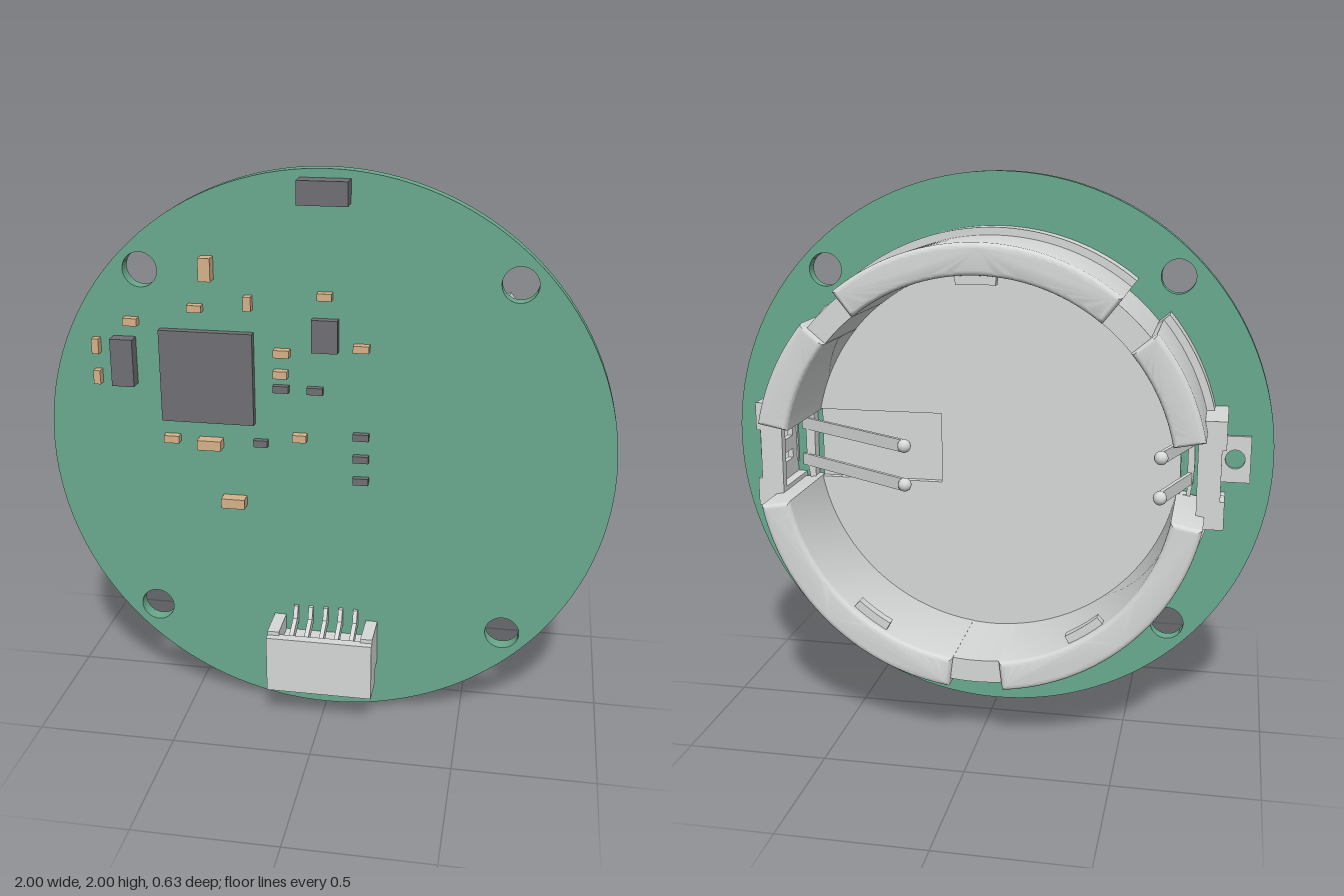
import * as THREE from 'three';
import { toCreasedNormals } from 'three/addons/utils/BufferGeometryUtils.js';

const mat = (name, color) => {
  const m = new THREE.MeshStandardMaterial({ color });
  m.name = name;
  return m;
};

export function createModel() {
  const green = mat('board green', 0x69aa8e);
  const grey = mat('light grey', 0xd6d8d7);
  const dark = mat('dark grey', 0x6f6f74);
  const tan = mat('tan', 0xd6b189);

  const model = new THREE.Group();
  const body = new THREE.Group(); // origin at the board centre
  body.name = 'assembly';
  body.position.y = 1;
  model.add(body);

  const add = (parent, name, geo, material) => {
    const m = new THREE.Mesh(geo, material);
    m.name = name;
    parent.add(m);
    return m;
  };
  const box = (parent, name, material, x0, x1, y0, y1, z0, z1) => {
    const m = add(parent, name, new THREE.BoxGeometry(x1 - x0, y1 - y0, z1 - z0), material);
    m.position.set((x0 + x1) / 2, (y0 + y1) / 2, (z0 + z1) / 2);
    return m;
  };
  // Extrude a shape between two z values, with an optional rounded edge
  const slab = (shape, z0, z1, round = 0, curveSegments = 32) => {
    const g = new THREE.ExtrudeGeometry(shape, {
      depth: z1 - z0 - 2 * round, curveSegments, bevelEnabled: round > 0,
      bevelSize: round, bevelThickness: round, bevelOffset: -round, bevelSegments: 4,
    });
    g.translate(0, 0, z0 + round);
    return toCreasedNormals(g, 0.6);
  };
  const rad = THREE.MathUtils.degToRad;
  const arc = (r0, r1, a0, a1) => {
    const s = new THREE.Shape();
    s.absarc(0, 0, r1, rad(a0), rad(a1), false);
    s.absarc(0, 0, r0, rad(a1), rad(a0), true);
    s.closePath();
    return s;
  };
  const circle = (x, y, r, Type = THREE.Path) => new Type().absarc(x, y, r, 0, Math.PI * 2, false);
  const rect = (x0, x1, y0, y1, Type = THREE.Path) => {
    const p = new Type();
    p.moveTo(x0, y0).lineTo(x1, y0).lineTo(x1, y1).lineTo(x0, y1).closePath();
    return p;
  };

  // Round circuit board with four mounting holes
  const disc = circle(0, 0, 1, THREE.Shape);
  for (const sx of [-1, 1]) for (const sy of [-1, 1]) disc.holes.push(circle(sx * 0.643, sy * 0.643, 0.061));
  add(body, 'circuitBoard', slab(disc, 0.105, 0.155, 0, 64), green);

  // Dark components: x, y (from the ground), width, height, depth
  const chips = [
    [0, 1.93, 0.17, 0.08, 0.065], [-0.415, 1.275, 0.33, 0.33, 0.03],
    [-0.71, 1.32, 0.08, 0.17, 0.048], [0, 1.443, 0.09, 0.115, 0.03],
    [-0.155, 1.245, 0.055, 0.025, 0.022], [-0.035, 1.245, 0.055, 0.025, 0.022],
    [-0.23, 1.04, 0.05, 0.025, 0.022], [0.125, 1.085, 0.055, 0.025, 0.022],
    [0.125, 1.003, 0.055, 0.025, 0.022], [0.125, 0.92, 0.055, 0.025, 0.022],
  ];
  // Tan components
  const passives = [
    [-0.405, 1.66, 0.042, 0.08, 0.045], [-0.265, 1.545, 0.027, 0.05, 0.03],
    [-0.45, 1.52, 0.05, 0.025, 0.03], [-0.68, 1.463, 0.05, 0.027, 0.03],
    [-0.81, 1.37, 0.025, 0.055, 0.03], [-0.81, 1.257, 0.025, 0.05, 0.03],
    [0, 1.58, 0.05, 0.025, 0.03], [-0.15, 1.375, 0.055, 0.027, 0.03],
    [-0.155, 1.3, 0.05, 0.027, 0.03], [0.125, 1.405, 0.055, 0.025, 0.03],
    [-0.55, 1.04, 0.055, 0.027, 0.03], [-0.41, 1.03, 0.085, 0.036, 0.045],
    [-0.09, 1.07, 0.05, 0.027, 0.03], [-0.33, 0.812, 0.085, 0.036, 0.045],
  ];
  const place = (list, name, material) => list.forEach(([x, y, w, h, d]) =>
    box(body, name, material, x - w / 2, x + w / 2, y - 1 - h / 2, y - 1 + h / 2, 0.155, 0.155 + d));
  place(chips, 'chip', dark);
  place(passives, 'passiveComponent', tan);

  // Cable connector: stepped housing open at the top, with five pins
  const plug = new THREE.Group();
  plug.name = 'connector';
  plug.position.y = -1;
  body.add(plug);
  box(plug, 'connectorBase', grey, -0.193, 0.19, 0.19, 0.3, 0.155, 0.195);
  box(plug, 'connectorCore', grey, -0.193, 0.19, 0.13, 0.3, 0.195, 0.28);
  box(plug, 'connectorFace', grey, -0.193, 0.19, 0.13, 0.345, 0.28, 0.315);
  for (const [x0, x1] of [[-0.193, -0.15], [0.147, 0.19]]) {
    box(plug, 'connectorCorner', grey, x0, x1, 0.3, 0.36, 0.155, 0.29);
  }
  for (let i = -2; i <= 2; i++) {
    const pin = new THREE.Shape([[0.157, 0.405], [0.17, 0.405], [0.19, 0.365], [0.265, 0.335], [0.265, 0.295], [0.157, 0.34]]
      .map(([z, y]) => new THREE.Vector2(-z, y)));
    const g = new THREE.ExtrudeGeometry(pin, { depth: 0.016, bevelEnabled: false });
    g.rotateY(Math.PI / 2);
    g.translate(i * 0.055 - 0.008, 0, 0);
    add(plug, 'connectorPin', g, grey);
  }

  // Battery holder: thick walls with three shallow grooves and a gap at each side
  const holder = new THREE.Group();
  holder.name = 'batteryHolder';
  body.add(holder);
  for (const [a, b] of [[10.8, 40], [51.5, 128.5], [140, 169.2], [190.8, 263], [277, 349.2]]) {
    add(holder, 'holderWall', slab(arc(0.675, 0.783, a, b), -0.315, 0.105, 0.018), grey);
  }
  for (const [a, b] of [[38, 53.5], [126.5, 142], [261, 279]]) {
    add(holder, 'wallGroove', slab(arc(0.676, 0.757, a, b), -0.295, 0.105), grey);
  }
  for (const [a, b] of [[13.6, 40], [51.5, 128.5], [140, 166.4], [193.6, 346.4]]) {
    add(holder, 'holderFlange', slab(arc(0.74, 0.81, a, b), 0.02, 0.105), grey);
  }
  // Small retaining lips inside the rim
  for (const a of [90, 235, 305]) {
    add(holder, 'retainingLip', slab(arc(0.645, 0.69, a - 6, a + 6), -0.285, -0.25), grey);
  }
  // Floor with a recess under one contact and a slot under the other
  const floor = circle(0, 0, 0.725, THREE.Shape);
  floor.holes.push(rect(0.2, 0.69, -0.13, 0.13), rect(-0.7, -0.675, -0.13, 0.13));
  add(holder, 'holderFloor', slab(floor, 0.06, 0.105, 0, 48), grey);
  box(holder, 'recessFloor', grey, 0.2, 0.665, -0.13, 0.13, 0.085, 0.104);

  // Contact clips at both sides
  for (const side of [1, -1]) {
    const clip = new THREE.Group();
    clip.name = side > 0 ? 'leftClip' : 'rightClip';
    clip.rotation.z = side > 0 ? 0 : Math.PI;
    holder.add(clip);
    // The left fingers lean far inwards, the right ones stand nearly upright
    const root = side > 0 ? new THREE.Vector3(0.74, 0, 0.08) : new THREE.Vector3(0.715, 0, 0.08);
    const end = new THREE.Vector3(side > 0 ? 0.27 : 0.62, 0, -0.213);
    const run = end.clone().sub(root);
    for (const s of [-1, 1]) {
      const y = (a, b) => (s > 0 ? [a, b] : [-b, -a]);
      box(clip, 'clipPost', grey, 0.74, 0.835, ...y(0.125, 0.19), -0.155, 0.105);
      box(clip, 'clipHook', grey, 0.805, 0.835, ...y(0.09, 0.13), -0.155, -0.07);
      box(clip, 'clipFoot', grey, 0.79, 0.815, ...y(0.085, 0.13), 0.03, 0.105);
      // Spring finger with a round tip
      const finger = box(clip, 'springFinger', grey, 0, run.length(), -0.022, 0.022, -0.007, 0.007);
      finger.position.copy(root).addScaledVector(run, 0.5).setY(s * 0.07);
      finger.rotation.y = Math.atan2(-run.z, run.x);
      const tip = add(clip, 'fingerTip', new THREE.SphereGeometry(0.024, 16, 10), grey);
      tip.position.copy(end).setY(s * 0.07);
    }
    box(clip, 'clipBridge', grey, 0.74, 0.82, -0.13, 0.13, -0.155, -0.12);
    // Upright metal plate with a window around a tongue
    const plate = rect(-0.105, 0.155, -0.13, 0.13, THREE.Shape);
    plate.holes.push(rect(-0.05, 0.05, -0.06, -0.025), rect(-0.05, 0.05, 0.025, 0.06));
    const g = slab(plate, 0, 0.02);
    g.rotateY(Math.PI / 2);
    g.translate(0.775, 0, 0);
    add(clip, 'contactPlate', g, grey);
    // Solder tab with a hole
    const tab = rect(0.77, 0.92, -0.085, 0.085, THREE.Shape);
    tab.holes.push(circle(0.865, 0, 0.035));
    add(clip, 'solderTab', slab(tab, 0.092, 0.105), grey);
  }
  return model;
}
